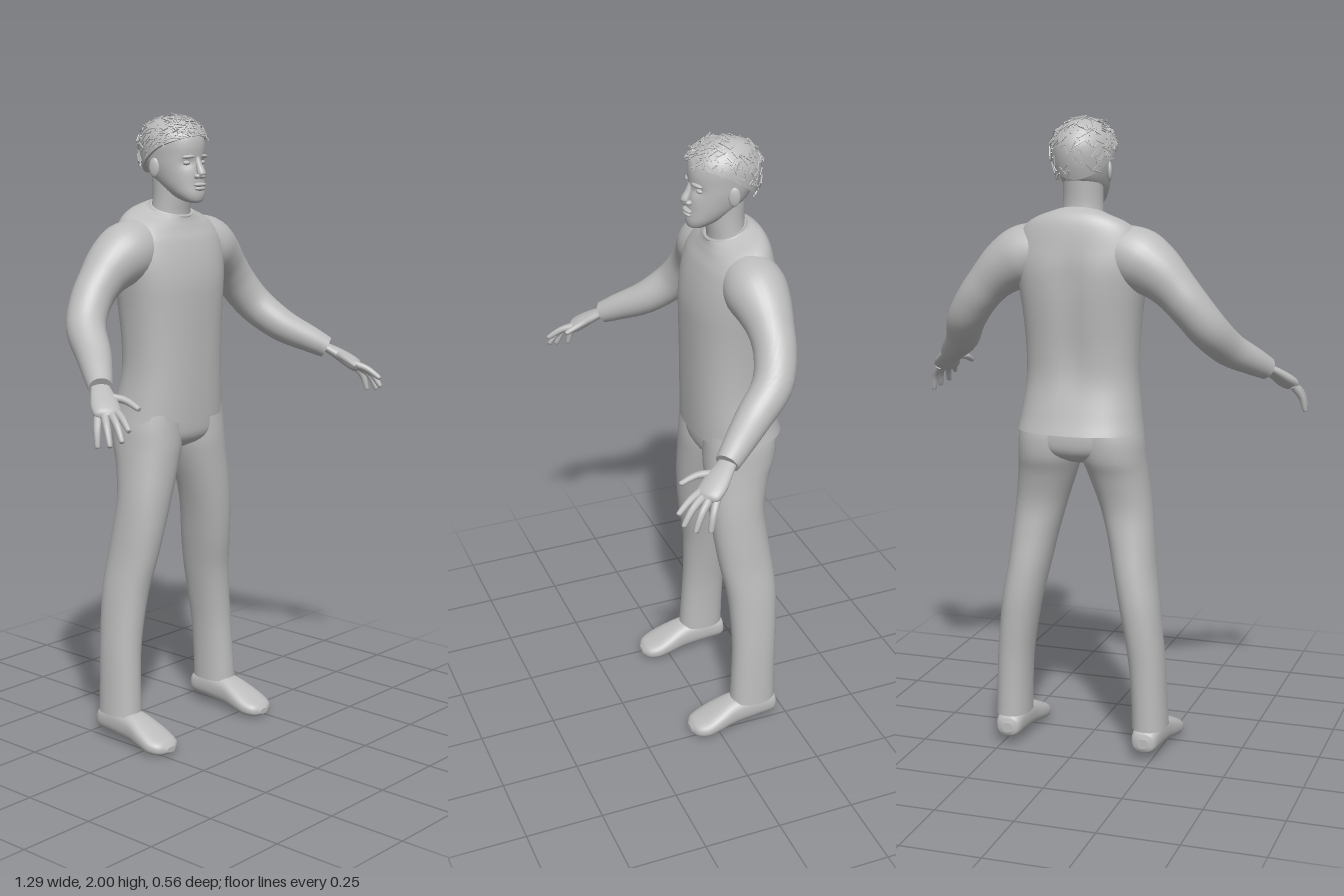
import * as THREE from 'three';
import { mergeGeometries } from 'three/addons/utils/BufferGeometryUtils.js';

const grey = new THREE.MeshStandardMaterial({ color: 0xbcbcbc });
grey.name = 'plain grey';

// Smooth in-between rows from a few key rows
function refine(rows, steps) {
  const n = rows.length;
  const spline = new THREE.CubicInterpolant(rows.map((_, i) => i), rows.flat(), rows[0].length);
  const out = [];
  for (let i = 0; i <= (n - 1) * steps; i++) out.push(Array.from(spline.evaluate(i / steps)));
  return out;
}

// Closed skin over rings of points, with flat end caps
function skin(rings) {
  const n = rings[0].length, pos = [], index = [];
  rings.forEach(r => r.forEach(p => pos.push(p.x, p.y, p.z)));
  for (let i = 0; i < rings.length - 1; i++) {
    for (let j = 0; j < n; j++) {
      const a = i * n + j, b = i * n + (j + 1) % n;
      index.push(a, b, b + n, a, b + n, a + n);
    }
  }
  [rings[0], rings[rings.length - 1]].forEach((ring, end) => {
    const base = pos.length / 3;
    const mid = ring.reduce((s, p) => s.add(p), new THREE.Vector3()).divideScalar(n);
    [...ring, mid].forEach(p => pos.push(p.x, p.y, p.z));
    for (let j = 0; j < n; j++) {
      const a = base + j, b = base + (j + 1) % n;
      if (end) index.push(a, b, base + n); else index.push(b, a, base + n);
    }
  });
  const g = new THREE.BufferGeometry();
  g.setAttribute('position', new THREE.Float32BufferAttribute(pos, 3));
  g.setIndex(index);
  g.computeVertexNormals();
  return g;
}

// Loft of rounded sections: rows are [along, centreX, halfWidth, high, low]
function loft(rows, { axis = 'y', power = 1, seg = 32, steps = 4, warp } = {}) {
  const round = v => Math.sign(v) * Math.abs(v) ** power;
  return skin(refine(rows, steps).map(([t, cx, hw, hi, lo]) => {
    const ring = [];
    for (let j = 0; j < seg; j++) {
      const a = j / seg * Math.PI * 2;
      const x = cx + hw * round(Math.cos(a)), h = (hi - lo) / 2 * round(Math.sin(a)), m = (hi + lo) / 2;
      const p = axis === 'y' ? new THREE.Vector3(x, t, m - h) : new THREE.Vector3(x, m + h, t);
      if (warp) warp(p);
      ring.push(p);
    }
    return ring;
  }));
}

// Tapering limb: rows are [x, y, z, radius]
function limb(rows, s = 1, flat = 1, seg = 20, steps = 4) {
  const up = new THREE.Vector3(0, 1, 0);
  const pts = refine(rows.map(([x, y, z, r]) => [x * s, y, z, r]), steps);
  const at = i => new THREE.Vector3(...pts[THREE.MathUtils.clamp(i, 0, pts.length - 1)].slice(0, 3));
  return skin(pts.map(([, , , r], i) => {
    const t = at(i + 1).sub(at(i - 1)).normalize();
    const n = t.clone().cross(up).normalize(), b = t.clone().cross(n);
    return Array.from({ length: seg }, (_, j) => {
      const a = j / seg * Math.PI * 2;
      return at(i).addScaledVector(n, Math.cos(a) * r).addScaledVector(b, Math.sin(a) * r * flat);
    });
  }));
}

const ball = (x, y, z, sx, sy, sz) => new THREE.SphereGeometry(1, 16, 12).scale(sx, sy, sz).translate(x, y, z);

// Point on the hair dome: u runs round from the front, v from crown to hairline
function hairPoint(u, v, lift) {
  const back = (1 - Math.cos(u)) / 2;
  const th = v * THREE.MathUtils.lerp(1.2, 2.15, back);
  const c = Math.cos(th), s = Math.sin(th);
  return new THREE.Vector3(
    Math.sin(u) * s * (0.094 + lift), 1.9 + c * (c > 0 ? 0.09 + lift : 0.16), -0.106 + Math.cos(u) * s * (0.115 + lift));
}

export function createModel() {
  const model = new THREE.Group();
  model.name = 'standingMan';
  const add = (name, geometry, parent = model) => {
    const m = new THREE.Mesh(geometry, grey);
    m.name = name;
    parent.add(m);
    return m;
  };

  // Sweater body, with sloping neckline and a spine furrow
  add('sweaterBody', loft([
    [1.045, 0, 0.198, 0.008, -0.28], [1.1, 0, 0.189, 0.01, -0.262], [1.2, 0, 0.177, 0.012, -0.238],
    [1.3, 0, 0.178, 0.013, -0.238], [1.4, 0, 0.186, 0.014, -0.247], [1.48, 0, 0.197, 0.012, -0.253],
    [1.55, 0, 0.207, 0.0, -0.253], [1.61, 0, 0.205, -0.018, -0.243], [1.655, 0, 0.182, -0.032, -0.23],
    [1.68, 0, 0.148, -0.04, -0.215], [1.695, 0, 0.11, -0.046, -0.2], [1.708, 0, 0.078, -0.05, -0.185],
  ], {
    power: 0.85, seg: 48, warp: p => {
      const { smoothstep } = THREE.MathUtils;
      if (p.z < -0.15) p.z += 0.014 * Math.exp(-((p.x / 0.04) ** 2)) * smoothstep(p.y, 1.12, 1.3) * (1 - smoothstep(p.y, 1.5, 1.65));
      p.y -= (p.z + 0.12) * 0.35 * smoothstep(p.y, 1.6, 1.7);
    },
  }));
  const collar = add('collar', new THREE.TorusGeometry(1, 0.09, 8, 36).scale(0.076, 0.068, 0.07));
  collar.rotation.x = Math.PI / 2 + 0.33;
  collar.position.set(0, 1.704, -0.118);

  // Trouser seat
  add('trouserSeat', loft([
    [0.945, 0, 0.04, -0.07, -0.18], [0.965, 0, 0.11, -0.03, -0.222], [0.99, 0, 0.175, -0.012, -0.242],
    [1.03, 0, 0.193, -0.008, -0.247], [1.08, 0, 0.18, -0.008, -0.242],
  ], { power: 0.85 }));

  for (const s of [1, -1]) {
    const side = s > 0 ? 'left' : 'right';
    const mir = rows => rows.map(([t, cx, ...rest]) => [t, cx * s, ...rest]);

    // Trouser leg and shoe
    add(side + 'TrouserLeg', loft(mir([
      [0.095, 0.23, 0.056, -0.055, -0.207], [0.2, 0.226, 0.055, -0.061, -0.208], [0.3, 0.22, 0.056, -0.065, -0.211],
      [0.4, 0.208, 0.059, -0.063, -0.217], [0.5, 0.193, 0.063, -0.055, -0.22], [0.6, 0.175, 0.066, -0.036, -0.213],
      [0.7, 0.159, 0.072, -0.022, -0.2], [0.8, 0.14, 0.081, -0.014, -0.193], [0.9, 0.117, 0.092, -0.01, -0.215],
      [0.96, 0.105, 0.098, -0.008, -0.238], [1.02, 0.1, 0.098, -0.01, -0.245], [1.07, 0.097, 0.09, -0.012, -0.24],
    ]), { power: 0.92 }));
    add(side + 'Shoe', loft(mir([
      [-0.213, 0.228, 0.018, 0.075, 0.042], [-0.2, 0.228, 0.04, 0.1, 0.026], [-0.14, 0.229, 0.046, 0.115, 0.02],
      [-0.06, 0.23, 0.05, 0.106, 0.014], [0, 0.231, 0.059, 0.082, 0.006], [0.045, 0.232, 0.06, 0.06, 0.0],
      [0.078, 0.231, 0.046, 0.046, 0.003], [0.094, 0.229, 0.018, 0.03, 0.012],
    ]), { axis: 'z', power: 0.8 }));

    // Sleeve and cuff
    add(side + 'Sleeve', limb([
      [0.08, 1.6, -0.135, 0.075], [0.135, 1.59, -0.135, 0.09], [0.19, 1.571, -0.135, 0.096], [0.245, 1.538, -0.138, 0.084],
      [0.295, 1.493, -0.138, 0.07], [0.345, 1.435, -0.13, 0.064], [0.395, 1.365, -0.098, 0.061],
      [0.44, 1.298, -0.02, 0.054], [0.497, 1.252, 0.055, 0.044], [0.532, 1.224, 0.1, 0.036],
    ], s, 1, 28));

    // Hand
    const hand = new THREE.Group();
    hand.name = side + 'Hand';
    model.add(hand);
    add('palm', limb([[0.515, 1.238, 0.078, 0.027], [0.535, 1.222, 0.104, 0.03], [0.553, 1.205, 0.13, 0.037],
      [0.573, 1.183, 0.16, 0.043], [0.587, 1.165, 0.185, 0.04], [0.594, 1.158, 0.196, 0.02]], s, 0.5), hand);
    const fingers = {
      thumb: [[0.545, 1.205, 0.13], [0.52, 1.198, 0.185], [0.515, 1.178, 0.235]],
      indexFinger: [[0.562, 1.175, 0.185], [0.58, 1.16, 0.233], [0.595, 1.132, 0.274]],
      middleFinger: [[0.577, 1.17, 0.182], [0.602, 1.145, 0.233], [0.613, 1.102, 0.265]],
      ringFinger: [[0.592, 1.167, 0.174], [0.62, 1.135, 0.213], [0.632, 1.088, 0.236]],
      littleFinger: [[0.605, 1.162, 0.162], [0.628, 1.125, 0.182], [0.638, 1.08, 0.193]],
    };
    for (const [name, [a, b, c]] of Object.entries(fingers)) {
      const tip = c.map((v, i) => v + (c[i] - b[i]) * 0.07);
      add(name, limb([[...a, 0.013], [...b, 0.011], [...c, 0.008], [...tip, 0.002]], s, 1, 10), hand);
    }
  }

  // Neck and head
  add('neck', loft([[1.62, 0, 0.08, -0.05, -0.185], [1.68, 0, 0.068, -0.058, -0.178], [1.74, 0, 0.062, -0.05, -0.17],
    [1.82, 0, 0.062, -0.04, -0.175]]));
  const head = new THREE.Group();
  head.name = 'head';
  model.add(head);
  add('skull', loft([
    [1.727, 0, 0.014, 0.0, -0.03], [1.733, 0, 0.032, 0.008, -0.05], [1.752, 0, 0.05, 0.012, -0.095],
    [1.78, 0, 0.064, 0.009, -0.14], [1.81, 0, 0.073, 0.007, -0.175], [1.84, 0, 0.079, 0.003, -0.193],
    [1.87, 0, 0.082, 0.003, -0.207], [1.9, 0, 0.084, 0.004, -0.214], [1.93, 0, 0.081, -0.002, -0.21],
    [1.96, 0, 0.067, -0.022, -0.193], [1.98, 0, 0.042, -0.05, -0.163], [1.987, 0, 0.01, -0.09, -0.12],
  ], { power: 0.95, warp: p => { // eye hollows
    if (p.z > -0.06) p.z -= 0.009 * Math.exp(-(((Math.abs(p.x) - 0.034) / 0.017) ** 2) - ((p.y - 1.85) / 0.014) ** 2);
  } , seg: 64 }), head);
  add('noseBridge', limb([[0, 1.868, -0.006, 0.009], [0, 1.84, 0.004, 0.011], [0, 1.815, 0.014, 0.014],
    [0, 1.806, 0.013, 0.008]].map(([x, y, z, r], i) => [x, y, z + i * 0.001, r]), 1, 1, 14), head);
  add('noseTip', ball(0, 1.812, 0.015, 0.013, 0.011, 0.014), head);
  add('upperLip', ball(0, 1.783, 0.009, 0.026, 0.007, 0.012), head);
  add('lowerLip', ball(0, 1.771, 0.009, 0.022, 0.007, 0.011), head);
  for (const s of [1, -1]) {
    add('nostril', ball(s * 0.014, 1.809, 0.008, 0.009, 0.008, 0.012), head);
    add('eye', ball(s * 0.034, 1.85, -0.018, 0.014, 0.008, 0.012), head);
    const brow = add('brow', new THREE.SphereGeometry(1, 14, 8).scale(0.022, 0.006, 0.009), head);
    brow.position.set(s * 0.036, 1.869, -0.007);
    brow.rotation.set(0, s * 0.4, -s * 0.08);
    const ear = add('ear', new THREE.SphereGeometry(1, 16, 12).scale(0.008, 0.03, 0.018), head);
    ear.position.set(s * 0.083, 1.835, -0.107);
    ear.rotation.y = -s * 0.3;
  }

  // Close-cropped hair: a smooth cap with short strands lying over it
  const rings = [];
  for (let i = 10; i >= 0; i--) {
    rings.push(Array.from({ length: 40 }, (_, j) => hairPoint(j / 40 * Math.PI * 2, Math.max(i / 10, 0.01), 0)));
  }
  add('hairCap', skin(rings), head);
  let seed = 7;
  const rand = () => (seed = (seed * 16807) % 2147483647) / 2147483647;
  const strands = [];
  for (let i = 0; i < 260; i++) {
    const u = rand() * Math.PI * 2, v = Math.sqrt(rand()) * 0.98, lift = 0.001 + rand() * 0.007;
    const p = hairPoint(u, v, lift);
    const q = hairPoint(u + (rand() - 0.5) * 0.5, v + (rand() - 0.5) * 0.25, lift + 0.001);
    const out = p.clone().sub(new THREE.Vector3(0, 1.89, -0.106)).normalize();
    const m = new THREE.Matrix4().lookAt(p, q, out).setPosition(p.lerp(q, 0.5));
    strands.push(new THREE.BoxGeometry(0.004, 0.003, 0.018 + rand() * 0.022).applyMatrix4(m));
  }
  add('hairStrands', mergeGeometries(strands), head);
  return model;
}
